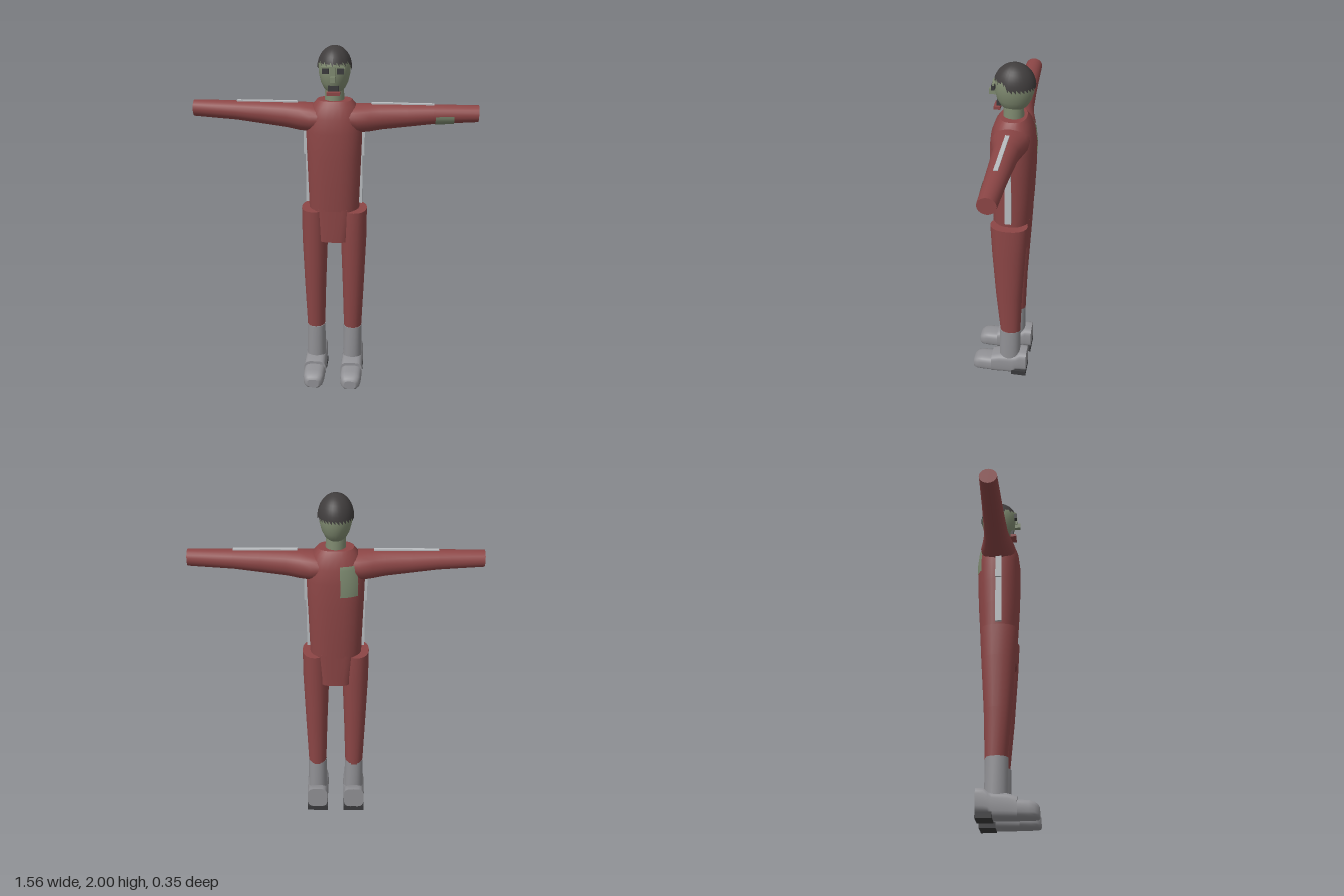
import * as THREE from 'three';

const mat = (name, color, side = THREE.FrontSide) => {
  const m = new THREE.MeshStandardMaterial({ color, side });
  m.name = name;
  return m;
};

// Loft of superellipse sections [t, cu, cv, ru, rv] along an axis.
// axis y: u=z v=x, axis x: u=y v=z, axis z: u=x v=y. An arc below 360 gives an open strip.
function loft(axis, sections, { n = 24, p = 2, from = 0, to = 360, floor = -Infinity } = {}) {
  const pos = [], idx = [], open = to - from < 360;
  const put = (t, u, v) => {
    if (axis === 'y') pos.push(v, t, u);
    else if (axis === 'x') pos.push(t, u, v);
    else pos.push(u, Math.max(v, floor), t);
  };
  const curve = c => Math.sign(c) * Math.pow(Math.abs(c) < 1e-9 ? 0 : Math.abs(c), 2 / p);
  const ring = ([t, cu, cv, ru, rv], grow = 0) => {
    const start = pos.length / 3;
    for (let j = 0; j < n + (open ? 1 : 0); j++) {
      const a = THREE.MathUtils.degToRad(from + (to - from) * j / n);
      put(t, cu + (ru + grow) * curve(Math.cos(a)), cv + (rv + grow) * curve(Math.sin(a)));
    }
    return start;
  };
  const starts = sections.map(s => ring(s, open ? 0.004 : 0));
  for (let i = 0; i < starts.length - 1; i++) {
    for (let j = 0; j < n; j++) {
      const k = open ? j + 1 : (j + 1) % n;
      const a = starts[i] + j, b = starts[i] + k, c = starts[i + 1] + k, d = starts[i + 1] + j;
      idx.push(a, b, c, a, c, d);
    }
  }
  // flat end caps with their own vertices keep the rims crisp
  if (!open) [sections[0], sections[sections.length - 1]].forEach((s, end) => {
    const r = ring(s), c = pos.length / 3;
    put(s[0], s[1], s[2]);
    for (let j = 0; j < n; j++) {
      const a = r + j, b = r + (j + 1) % n;
      if (end) idx.push(c, a, b); else idx.push(c, b, a);
    }
  });
  const g = new THREE.BufferGeometry();
  g.setAttribute('position', new THREE.Float32BufferAttribute(pos, 3));
  g.setIndex(idx);
  g.computeVertexNormals();
  return g;
}

// Hair cap: ellipsoid shell with a raised, jagged fringe over the face.
function hairCap() {
  const g = new THREE.SphereGeometry(1, 32, 10);
  const pos = g.attributes.position, uv = g.attributes.uv;
  for (let i = 0; i < pos.count; i++) {
    const step = Math.round(uv.getX(i) * 32) % 32, a = step / 32 * Math.PI * 2;
    const t = Math.round((1 - uv.getY(i)) * 10) / 10;
    const front = Math.cos(a);
    const rim = front > 0.3 ? 1.905 + (step % 2 ? 0.008 : -0.004) : 1.87;
    const phi = t * Math.acos((rim - 1.88) / 0.12);
    pos.setXYZ(i, Math.sin(a) * Math.sin(phi) * 0.094, 1.88 + 0.12 * Math.cos(phi),
      -0.05 + front * Math.sin(phi) * 0.11);
  }
  g.setIndex(g.index);
  // wind the faces outward
  const ix = g.index.array;
  for (let i = 0; i < ix.length; i += 3) [ix[i + 1], ix[i + 2]] = [ix[i + 2], ix[i + 1]];
  const v = new THREE.Vector3(), e = new THREE.Vector3(), f = new THREE.Vector3();
  const k = ix.length / 2 - (ix.length / 2) % 3;
  v.fromBufferAttribute(pos, ix[k]);
  e.fromBufferAttribute(pos, ix[k + 1]).sub(v);
  f.fromBufferAttribute(pos, ix[k + 2]).sub(v);
  if (e.cross(f).dot(v.sub(new THREE.Vector3(0, 1.88, -0.05))) < 0)
    for (let i = 0; i < ix.length; i += 3) [ix[i + 1], ix[i + 2]] = [ix[i + 2], ix[i + 1]];
  g.computeVertexNormals();
  return g;
}

export function createModel() {
  const group = new THREE.Group();
  const red = mat('suit red', 0x8c4646);
  const grey = mat('boot grey', 0x919195);
  const pale = mat('stripe pale grey', 0xb9bdc0);
  const skin = mat('skin green', 0x7f8a70);
  const patch = mat('patch green', 0x7d8a70, THREE.DoubleSide);
  const hair = mat('hair dark', 0x403d3d, THREE.DoubleSide);
  const dark = mat('sole dark', 0x3a3a3c);

  const add = (name, geometry, material) => {
    const m = new THREE.Mesh(geometry, material);
    m.name = name;
    group.add(m);
    return m;
  };
  const box = (name, material, w, h, d, x, y, z) => {
    const m = add(name, new THREE.BoxGeometry(w, h, d), material);
    m.position.set(x, y, z);
    return m;
  };

  // torso and hip block
  const torso = [
    [1.09, -0.046, 0, 0.108, 0.142], [1.25, -0.046, 0, 0.118, 0.147], [1.4, -0.046, 0, 0.124, 0.152],
    [1.54, -0.046, 0, 0.124, 0.156], [1.62, -0.046, 0, 0.115, 0.147], [1.68, -0.046, 0, 0.094, 0.12],
    [1.71, -0.046, 0, 0.072, 0.095],
  ];
  add('torso', loft('y', torso, { n: 28, p: 2.4 }), red);
  add('hips', loft('y', [
    [0.9, -0.043, 0, 0.098, 0.096], [0.95, -0.043, 0, 0.1, 0.1], [1.1, -0.046, 0, 0.107, 0.12],
  ], { p: 3.2 }), red);
  add('backPatch', loft('y', [
    [1.47, -0.046, 0, 0.124, 0.154], [1.54, -0.046, 0, 0.124, 0.156],
    [1.62, -0.046, 0, 0.115, 0.147], [1.64, -0.046, 0, 0.108, 0.138],
  ], { n: 6, p: 2.4, from: 186, to: 224 }), patch);

  // neck and head
  add('neck', loft('y', [[1.69, -0.046, 0, 0.056, 0.054], [1.8, -0.046, 0, 0.052, 0.05]], { n: 16 }), skin);
  add('head', loft('y', [
    [1.755, -0.046, 0, 0.05, 0.04], [1.772, -0.047, 0, 0.072, 0.056], [1.805, -0.048, 0, 0.09, 0.073],
    [1.85, -0.05, 0, 0.102, 0.084], [1.9, -0.05, 0, 0.104, 0.088], [1.94, -0.05, 0, 0.09, 0.076],
    [1.975, -0.05, 0, 0.055, 0.045],
  ]), skin);
  add('hair', hairCap(), hair);

  // face
  box('browBar', skin, 0.124, 0.009, 0.012, 0, 1.9, 0.052);
  box('noseBridge', skin, 0.03, 0.05, 0.02, 0, 1.875, 0.053);
  box('nose', skin, 0.026, 0.03, 0.035, 0, 1.84, 0.064);
  box('moustache', dark, 0.058, 0.03, 0.02, 0, 1.785, 0.03);
  box('lip', red, 0.072, 0.016, 0.035, 0, 1.758, 0.038);

  for (const s of [1, -1]) {
    const side = s > 0 ? 'left' : 'right';
    box(side + 'Eye', dark, 0.036, 0.03, 0.016, s * 0.04, 1.882, 0.054);

    // arm, held straight out
    const arm = [
      [0.08, 1.61, -0.046, 0.07, 0.1], [0.13, 1.608, -0.046, 0.078, 0.1], [0.19, 1.612, -0.046, 0.077, 0.084],
      [0.26, 1.619, -0.046, 0.071, 0.07], [0.4, 1.628, -0.046, 0.062, 0.062], [0.54, 1.637, -0.046, 0.053, 0.056],
      [0.78, 1.645, -0.046, 0.045, 0.048],
    ];
    const sections = s > 0 ? arm : arm.map(([t, ...r]) => [-t, ...r]).reverse();
    add(side + 'Arm', loft('x', sections, { n: 20 }), red);
    box(side + 'UpperArmStripe', pale, 0.2, 0.009, 0.022, s * 0.3, 1.691, -0.045);
    box(side + 'ForearmStripe', pale, 0.14, 0.009, 0.022, s * 0.47, 1.69, -0.045);

    // side stripes on the torso
    box(side + 'UpperSideStripe', pale, 0.016, 0.2, 0.036, s * 0.16, 1.5, -0.04);
    box(side + 'LowerSideStripe', pale, 0.018, 0.28, 0.036, s * 0.149, 1.26, -0.04);

    // leg
    add(side + 'Leg', loft('y', [
      [0.32, -0.052, s * 0.109, 0.06, 0.052], [0.6, -0.043, s * 0.111, 0.077, 0.062],
      [0.9, -0.041, s * 0.111, 0.096, 0.073], [1.085, -0.041, s * 0.114, 0.105, 0.071],
    ], { n: 20, p: 2.2 }), red);

    // boot: shaft, foot, raised toe cap and heel
    add(side + 'BootShaft', loft('y', [
      [0.1, -0.049, s * 0.109, 0.064, 0.056], [0.33, -0.049, s * 0.109, 0.063, 0.054],
    ], { n: 20, p: 2.2 }), grey);
    const x = s * 0.11;
    add(side + 'BootFoot', loft('z', [
      [-0.155, x, 0.097, 0.06, 0.068], [-0.115, x, 0.096, 0.062, 0.068], [-0.09, x, 0.085, 0.063, 0.057],
      [-0.07, x, 0.07, 0.063, 0.07], [0.01, x, 0.066, 0.064, 0.068], [0.06, x, 0.058, 0.065, 0.06],
    ], { p: 3.6, floor: 0.004 }), grey);
    add(side + 'BootToe', loft('z', [
      [0.05, x, 0.05, 0.063, 0.052], [0.12, x, 0.048, 0.062, 0.05], [0.15, x, 0.044, 0.058, 0.045],
      [0.168, x, 0.038, 0.048, 0.036], [0.175, x, 0.034, 0.034, 0.026],
    ], { p: 3, floor: 0.004 }), grey);
    box(side + 'BootHeel', dark, 0.122, 0.032, 0.088, x, 0.016, -0.111);
  }

  // patch wrapped around the front of the left forearm
  add('forearmPatch', loft('x', [
    [0.55, 1.637, -0.046, 0.053, 0.056], [0.65, 1.641, -0.046, 0.049, 0.052],
  ], { n: 6, from: 92, to: 165 }), patch);

  return group;
}
